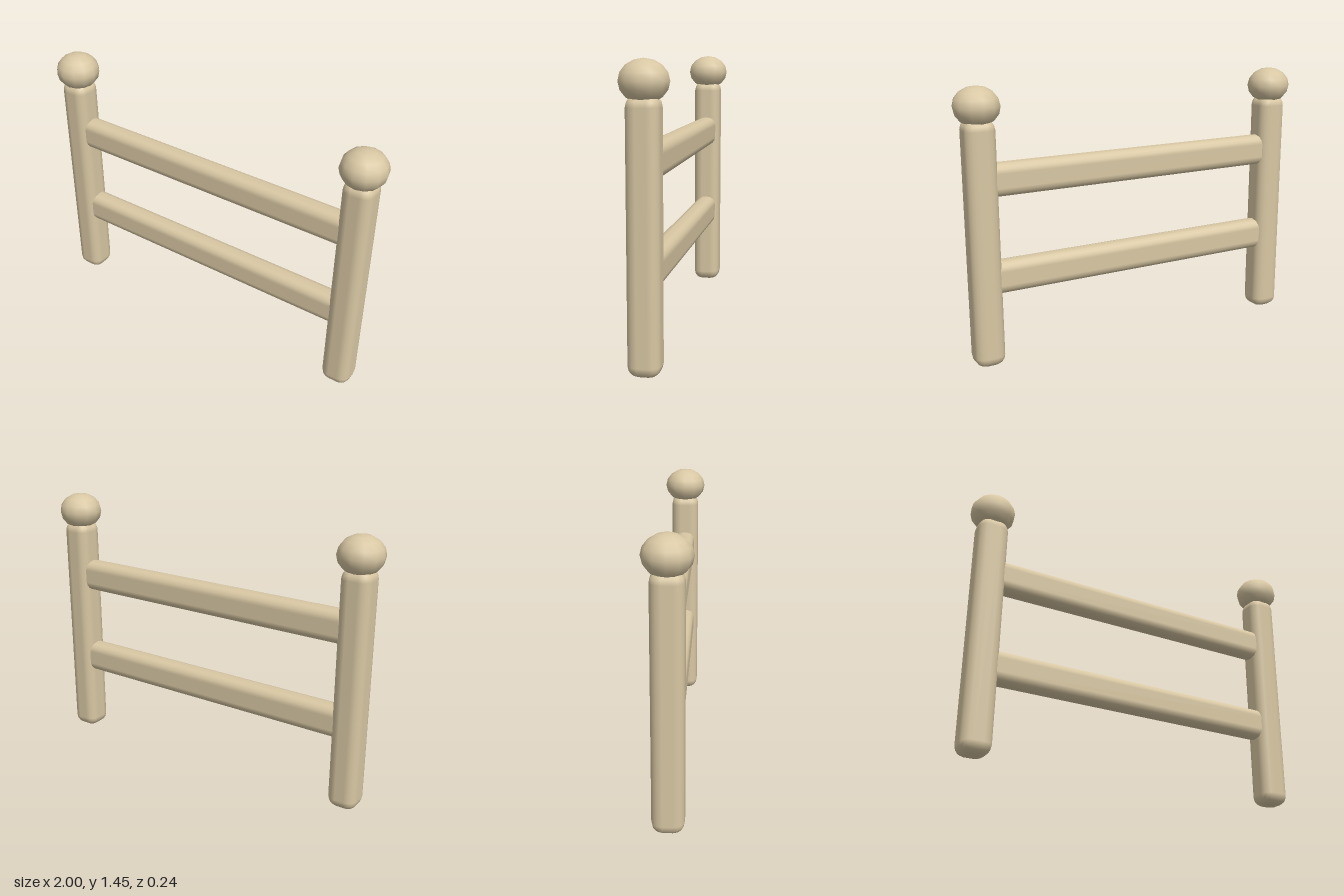
import * as THREE from 'three';
import { RoundedBoxGeometry } from 'three/addons/geometries/RoundedBoxGeometry.js';

export function createModel() {
  const model = new THREE.Group();
  model.name = 'fence';
  const wood = new THREE.MeshStandardMaterial({ color: 0xd8c7a3 });

  const add = (name, geometry, x, y) => {
    const mesh = new THREE.Mesh(geometry, wood);
    mesh.name = name;
    mesh.position.set(x, y, 0);
    model.add(mesh);
  };

  // Two rounded posts, each capped with a slightly squashed ball
  const postGeometry = new RoundedBoxGeometry(0.16, 1.29, 0.16, 2, 0.055);
  const ballGeometry = new THREE.SphereGeometry(0.119, 12, 8).scale(1, 0.84, 1);
  for (const [side, x] of [['left', 0.88], ['right', -0.88]]) {
    add(`${side}Post`, postGeometry, x, 0.645);
    add(`${side}Ball`, ballGeometry, x, 1.35);
  }

  // Two horizontal rails whose ends sit inside the posts
  const railGeometry = new RoundedBoxGeometry(1.76, 0.174, 0.116, 2, 0.05);
  add('lowerRail', railGeometry, 0, 0.468);
  add('upperRail', railGeometry, 0, 0.978);

  return model;
}
